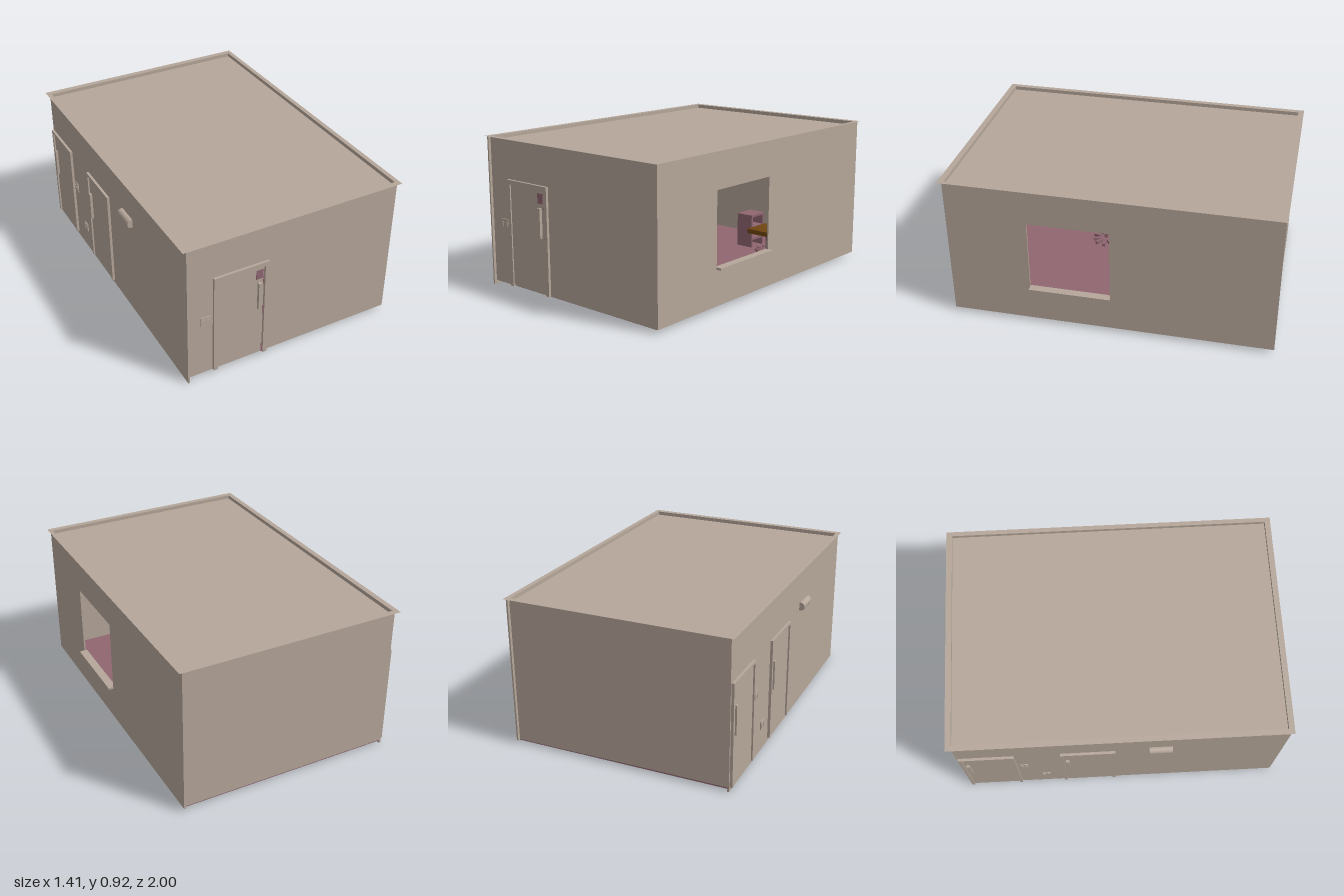
import * as THREE from 'three';

const mat = (name, color, side = THREE.FrontSide) => {
  const m = new THREE.MeshStandardMaterial({ color, side });
  m.name = name;
  return m;
};

export function createModel() {
  const plaster = mat('plaster', 0xb5a699, THREE.DoubleSide);
  const mauve = mat('mauve', 0x8f6670);
  const brown = mat('brown', 0x6e4510);
  const root = new THREE.Group();
  root.name = 'room';

  const add = (parent, name, geometry, material) => {
    const mesh = new THREE.Mesh(geometry, material);
    mesh.name = name;
    parent.add(mesh);
    return mesh;
  };
  // box from its minimum and maximum corners
  const box = (parent, name, m, x0, x1, y0, y1, z0, z1) => {
    const mesh = add(parent, name, new THREE.BoxGeometry(x1 - x0, y1 - y0, z1 - z0), m);
    mesh.position.set((x0 + x1) / 2, (y0 + y1) / 2, (z0 + z1) / 2);
    return mesh;
  };
  const rect = (Type, x0, x1, y0, y1) => new Type([
    new THREE.Vector2(x0, y0), new THREE.Vector2(x1, y0),
    new THREE.Vector2(x1, y1), new THREE.Vector2(x0, y1)]);
  const group = (name, parent = root) => {
    const g = new THREE.Group();
    g.name = name;
    parent.add(g);
    return g;
  };

  // shell: floor and walls, each wall running past one corner
  box(root, 'floor', mauve, -0.672, 0.663, 0.021, 0.029, -0.975, 0.965);
  box(root, 'frontWall', plaster, -0.672, 0.672, 0.026, 0.92, 0.963, 0.973);
  box(root, 'backWall', plaster, -0.672, 0.672, 0.026, 0.92, -0.975, -0.965);
  box(root, 'sideWall', plaster, -0.674, -0.664, 0.002, 0.92, -0.975, 0.99);

  // wall with the window opening (shape x is -z)
  const wall = rect(THREE.Shape, -0.973, 0.994, 0.026, 0.92);
  wall.holes.push(rect(THREE.Path, -0.48, 0.01, 0.255, 0.7));
  const windowWall = add(root, 'windowWall',
    new THREE.ExtrudeGeometry(wall, { depth: 0.01, bevelEnabled: false }), plaster);
  windowWall.rotation.y = Math.PI / 2;
  windowWall.position.x = 0.663;
  box(root, 'windowSill', plaster, 0.655, 0.705, 0.243, 0.256, -0.012, 0.48);

  // roof: recessed panel and thin rim reaching past the walls
  box(root, 'roofPanel', plaster, -0.665, 0.664, 0.892, 0.897, -0.966, 0.964);
  const rim = rect(THREE.Shape, -0.696, 0.69, -0.997, 1);
  rim.holes.push(rect(THREE.Path, -0.664, 0.663, -0.963, 0.965));
  const roofRim = add(root, 'roofRim', new THREE.ShapeGeometry(rim), plaster);
  roofRim.rotation.x = -Math.PI / 2;
  roofRim.position.y = 0.921;

  // doors and plates are drawn facing +z, with the wall at z = 0
  const frame = (g, x0, x1, top, w) => {
    box(g, 'jambLeft', plaster, x0, x0 + w, 0.026, top, 0, 0.016);
    box(g, 'jambRight', plaster, x1 - w, x1, 0.026, top, 0, 0.016);
    box(g, 'lintel', plaster, x0 + w, x1 - w, top - w, top, 0, 0.016);
  };
  const plate = (g, x, y, w, h) => {
    box(g, 'plate', plaster, x - w / 2, x + w / 2, y - h / 2, y + h / 2, 0, 0.006);
    for (const s of [-1, 1]) {
      box(g, 'rocker', plaster, x + s * w * 0.26 - 0.007, x + s * w * 0.26 + 0.007,
        y - 0.014, y + 0.014, 0.006, 0.01);
    }
  };

  // front door
  const front = group('frontDoor');
  front.position.z = 0.973;
  frame(front, -0.51, -0.165, 0.68, 0.026);
  box(front, 'doorLeaf', plaster, -0.484, -0.2, 0.036, 0.653, 0, 0.008);
  box(front, 'doorSign', mauve, -0.246, -0.201, 0.575, 0.635, 0.008, 0.011);
  box(front, 'handle', plaster, -0.235, -0.214, 0.37, 0.55, 0.008, 0.026);
  for (const [y0, y1] of [[0.03, 0.09], [0.31, 0.37], [0.53, 0.58]]) {
    box(front, 'hinge', mauve, -0.2, -0.192, y0, y1, 0, 0.009);
  }
  const frontSwitch = group('frontSwitch');
  frontSwitch.position.z = 0.973;
  plate(frontSwitch, -0.555, 0.4, 0.06, 0.06);

  // fittings on the outside of the side wall (local x is z)
  const side = group('sideWallFittings');
  side.rotation.y = -Math.PI / 2;
  side.position.x = -0.674;
  for (const x0 of [-0.965, -0.36]) {
    const door = group('sideDoor', side);
    frame(door, x0, x0 + 0.33, 0.655, 0.018);
    box(door, 'doorLeaf', plaster, x0 + 0.018, x0 + 0.312, 0.02, 0.637, 0, 0.006);
    box(door, 'handle', plaster, x0 + 0.03, x0 + 0.05, 0.335, 0.515, 0.006, 0.022);
  }
  plate(group('sideSwitch', side), -0.59, 0.41, 0.045, 0.06);
  plate(group('socket', side), -0.47, 0.17, 0.05, 0.05);

  // rounded vent hood, with its grille inside the room
  const hood = add(root, 'ventHood',
    new THREE.CylinderGeometry(0.026, 0.026, 0.14, 20), plaster);
  hood.rotation.x = Math.PI / 2;
  hood.position.set(-0.682, 0.675, 0.24);
  const grille = group('ventGrille');
  box(grille, 'grillePlate', plaster, -0.664, -0.659, 0.647, 0.7, 0.17, 0.308);
  for (let i = 0; i < 7; i++) {
    const z = 0.176 + i * 0.014;
    box(grille, 'slot', mauve, -0.659, -0.657, 0.651, 0.696, z, z + 0.006);
  }

  // desk along the side wall with shelves and boxes
  const desk = group('desk');
  box(desk, 'deskTop', brown, -0.65, -0.36, 0.312, 0.33, -0.1, 0.6);
  box(desk, 'drawerBand', mauve, -0.64, -0.365, 0.28, 0.312, -0.09, 0.59);
  box(desk, 'deskRail', brown, -0.65, -0.36, 0.25, 0.28, -0.1, 0.6);
  for (const z of [-0.1, 0.56]) {
    box(desk, 'deskEnd', brown, -0.64, -0.37, 0.029, 0.25, z, z + 0.04);
  }
  for (let i = 0; i < 4; i++) {
    const y = 0.335 + i * 0.02;
    box(desk, 'paperTray', mauve, -0.62, -0.45, y, y + 0.012, 0.355, 0.5);
  }
  box(desk, 'trayPost', brown, -0.46, -0.45, 0.33, 0.41, 0.4, 0.41);
  box(desk, 'tallBox', mauve, -0.62, -0.52, 0.33, 0.502, 0.373, 0.418);
  box(desk, 'smallBox', mauve, -0.6, -0.5, 0.33, 0.42, 0, 0.045);

  // chairs with a domed back
  const chair = (x, z, turn) => {
    const g = group('chair');
    g.position.set(x, 0, z);
    g.rotation.y = turn;
    const back = new THREE.Shape();
    back.moveTo(-0.075, 0.26);
    back.bezierCurveTo(-0.13, 0.33, -0.1, 0.405, -0.04, 0.405);
    back.lineTo(0.04, 0.405);
    back.bezierCurveTo(0.1, 0.405, 0.13, 0.33, 0.075, 0.26);
    const pad = add(g, 'chairBack',
      new THREE.ExtrudeGeometry(back, { depth: 0.03, bevelEnabled: false }), brown);
    pad.position.z = 0.08;
    box(g, 'backPost', mauve, -0.018, 0.018, 0.15, 0.33, 0.11, 0.12);
    box(g, 'seat', brown, -0.1, 0.1, 0.16, 0.19, -0.1, 0.11);
    box(g, 'column', mauve, -0.012, 0.012, 0.05, 0.16, -0.012, 0.012);
    for (let i = 0; i < 5; i++) {
      const foot = box(g, 'foot', mauve, -0.01, 0.01, 0.03, 0.05, -0.09, 0.09);
      foot.rotation.y = (i * Math.PI) / 5;
    }
  };
  chair(-0.25, 0.235, Math.PI / 2);
  chair(0.24, -0.62, Math.PI / 2);

  // low shelf beside the second chair
  const shelf = group('lowShelf');
  for (const y of [0.08, 0.16, 0.24]) {
    box(shelf, 'shelfBoard', mauve, -0.02, 0.1, y, y + 0.015, -0.76, -0.62);
  }
  for (const z of [-0.76, -0.635]) {
    box(shelf, 'shelfEnd', mauve, -0.02, 0.1, 0.029, 0.24, z, z + 0.015);
  }
  return root;
}
